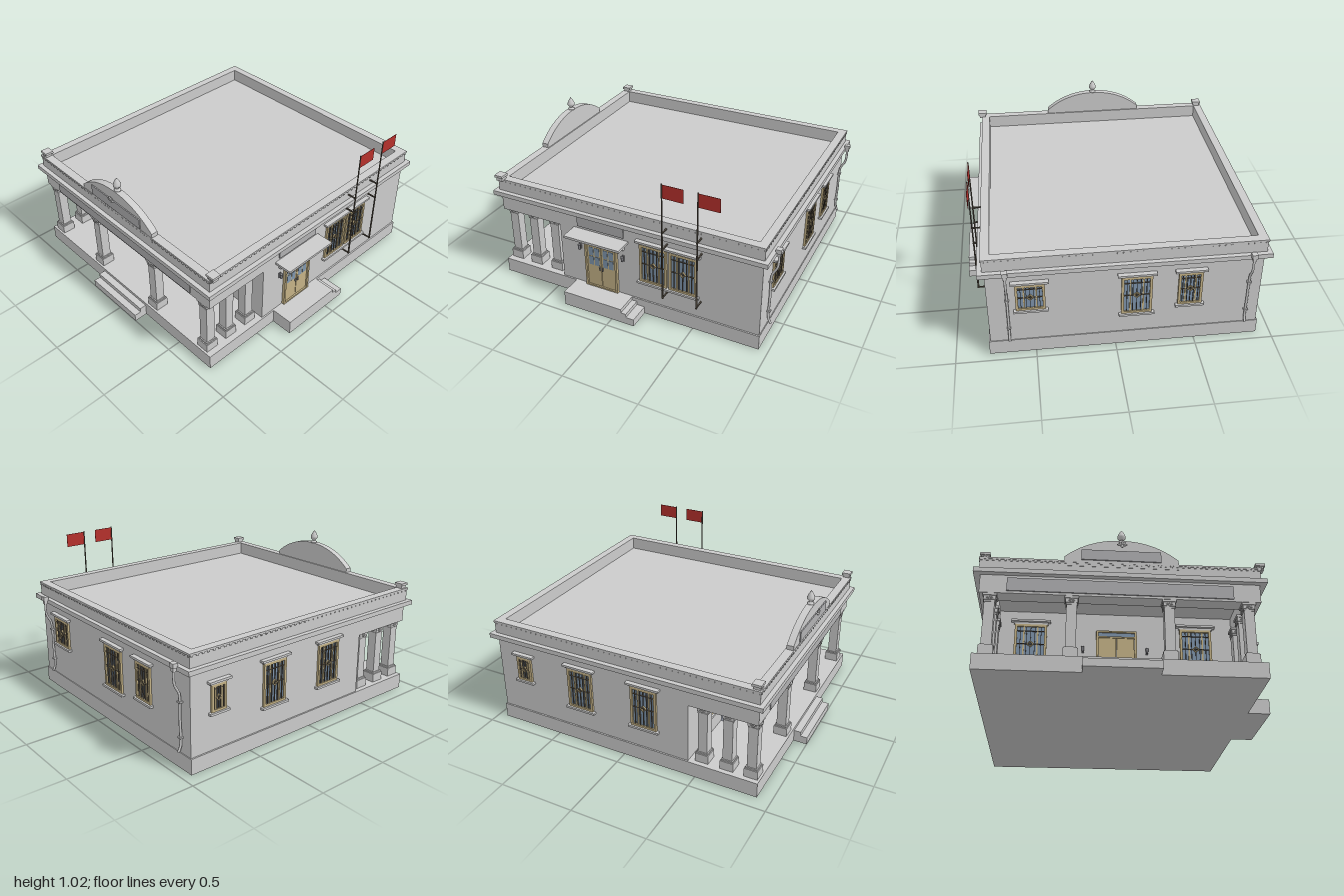
import * as THREE from 'three';
import { mergeGeometries } from 'three/addons/utils/BufferGeometryUtils.js';

const mat = (color) => new THREE.MeshStandardMaterial({ color });
const GREY = mat(0xcccccc), SIGN = mat(0xb0b0b2), TAN = mat(0xc4b286), BLUE = mat(0x7f95ac);
const DARK = mat(0x5b5348), RED = mat(0xb5302c), BENCH = mat(0xb6bed2), METAL = mat(0x85858a);
const CX = -0.06; // centre line of the building

function add(parent, name, geo, m = GREY, x = 0, y = 0, z = 0) {
  const mesh = new THREE.Mesh(geo, m);
  mesh.name = name;
  mesh.position.set(x, y, z);
  parent.add(mesh);
  return mesh;
}

// box given by its limits on each axis
function box(parent, name, x0, x1, y0, y1, z0, z1, m = GREY) {
  return add(parent, name, new THREE.BoxGeometry(x1 - x0, y1 - y0, z1 - z0), m,
    (x0 + x1) / 2, (y0 + y1) / 2, (z0 + z1) / 2);
}

function rectPath(P, x0, x1, y0, y1) {
  const p = new P();
  p.moveTo(x0, y0); p.lineTo(x1, y0); p.lineTo(x1, y1); p.lineTo(x0, y1); p.closePath();
  return p;
}

// rectangular ring in the xy plane, extruded along z
function ring(x0, x1, y0, y1, tx, depth, ty = tx) {
  const s = rectPath(THREE.Shape, x0, x1, y0, y1);
  s.holes.push(rectPath(THREE.Path, x0 + tx, x1 - tx, y0 + ty, y1 - ty));
  return new THREE.ExtrudeGeometry(s, { depth, bevelEnabled: false });
}

function group(parent, name, x, y, z, ry = 0) {
  const g = new THREE.Group();
  g.name = name;
  g.position.set(x, y, z);
  g.rotation.y = ry;
  parent.add(g);
  return g;
}

// window facing +z, origin at the middle of its foot on the wall face
function makeWindow(parent, x, y, z, ry, w, h, trim = true) {
  const g = group(parent, 'window', x, y, z, ry), a = w / 2;
  add(g, 'windowFrame', ring(-a, a, 0, h, 0.016, 0.014), TAN);
  box(g, 'windowPane', -a + 0.01, a - 0.01, 0.01, h - 0.01, 0, 0.004, BLUE);
  for (const s of [-1, 1]) {
    box(g, 'mullion', s * w * 0.21 - 0.005, s * w * 0.21 + 0.005, 0.01, h - 0.01, 0, 0.01, TAN);
    box(g, 'grilleBar', s * w * 0.32 - 0.0015, s * w * 0.32 + 0.0015, 0.01, h - 0.01, 0, 0.012, DARK);
    box(g, 'grilleBar', s * w * 0.13 - 0.0015, s * w * 0.13 + 0.0015, 0.01, h - 0.01, 0, 0.012, DARK);
  }
  box(g, 'grilleBar', -0.0015, 0.0015, 0.01, h - 0.01, 0, 0.012, DARK);
  for (const f of [0.5, 0.83]) box(g, 'grilleRail', -a + 0.01, a - 0.01, h * f - 0.0015, h * f + 0.0015, 0, 0.012, DARK);
  const d = add(g, 'grilleDiamond', ring(-0.016, 0.016, -0.016, 0.016, 0.005, 0.014), TAN, 0, h / 2, 0);
  d.rotation.z = Math.PI / 4;
  box(g, 'sill', -a - 0.015, a + 0.015, -0.012, 0.002, 0, 0.026);
  if (trim) hood(g, -a, a, h);
}

function hood(g, x0, x1, y) {
  box(g, 'hoodMoulding', x0 - 0.008, x1 + 0.008, y, y + 0.014, 0, 0.014);
  box(g, 'hood', x0 - 0.024, x1 + 0.024, y + 0.014, y + 0.028, 0, 0.03);
}

// double door facing +z; glazed puts panes into the upper half
function makeDoor(parent, x, y, z, ry, w, h, glazed) {
  const g = group(parent, 'door', x, y, z, ry), a = w / 2;
  add(g, 'doorFrame', ring(-a, a, 0, h, 0.014, 0.02, 0.01), TAN);
  box(g, 'transom', -a + 0.01, a - 0.01, h - 0.04, h - 0.01, 0, 0.008, BLUE);
  box(g, 'transomRail', -a, a, h - 0.048, h - 0.038, 0, 0.016, TAN);
  for (const s of [-1, 1]) {
    const c = s * (a - 0.014) / 2, b = (a - 0.018) / 2;
    box(g, 'doorLeaf', c - b, c + b, 0, h - 0.045, 0, 0.01, TAN);
    if (glazed) for (const i of [-1, 1]) for (const j of [0, 1])
      box(g, 'doorPane', c + i * b * 0.42 - b * 0.34, c + i * b * 0.42 + b * 0.34,
        h * (0.46 + j * 0.2), h * (0.64 + j * 0.19), 0.005, 0.012, BLUE);
    box(g, 'doorHandle', s * 0.01 - 0.003, s * 0.01 + 0.003, h * 0.38, h * 0.45, 0.01, 0.02, METAL);
  }
}

// fan of petals facing +z
function makeFlower(parent, x, y, z, ry, r) {
  const g = group(parent, 'flowerOrnament', x, y, z, ry);
  for (let i = -2; i <= 2; i++) {
    const p = add(g, 'petal', new THREE.SphereGeometry(r * 0.5, 8, 6), GREY, Math.sin(i * 0.65) * r * 0.55, Math.cos(i * 0.65) * r * 0.55, 0);
    p.scale.set(0.45, 1, 0.4);
    p.rotation.z = -i * 0.65;
  }
  add(g, 'flowerHeart', new THREE.SphereGeometry(r * 0.35, 8, 6), GREY, 0, -r * 0.1, 0).scale.z = 0.6;
}

function makeLamp(parent, x, y, z, ry) {
  const g = group(parent, 'wallLamp', x, y, z, ry);
  box(g, 'lampPlate', -0.008, 0.008, -0.02, 0.02, 0, 0.006, METAL);
  add(g, 'lampShade', new THREE.CylinderGeometry(0.01, 0.007, 0.034, 10), METAL, 0, 0, 0.018);
}

function makeColumn(parent, x, z) {
  const g = group(parent, 'column', x, 0, z);
  const sq = (n, w, y0, y1) => box(g, n, -w, w, y0, y1, -w, w);
  sq('columnBase', 0.044, 0.1, 0.158);
  sq('columnFoot', 0.038, 0.158, 0.168);
  sq('columnShaft', 0.031, 0.16, 0.46);
  sq('columnNeck', 0.034, 0.447, 0.454);
  sq('columnCapital', 0.036, 0.46, 0.49);
  sq('columnAbacus', 0.042, 0.486, 0.502);
  for (let i = 0; i < 4; i++) {
    const t = i * Math.PI / 2;
    makeFlower(g, Math.sin(t) * 0.037, 0.467, Math.cos(t) * 0.037, t, 0.02);
  }
}

export function createModel() {
  const m = new THREE.Group();
  m.name = 'meetingHall';

  // plinth, front steps, side landing with steps
  box(m, 'plinth', -0.91, 0.79, 0, 0.1, -0.94, 0.91);
  box(m, 'frontStep', -0.285, 0.165, 0, 0.08, 0.9, 0.955);
  box(m, 'frontStep', -0.285, 0.165, 0, 0.05, 0.9, 1.0);
  box(m, 'sideLanding', 0.78, 0.935, 0, 0.1, -0.07, 0.35);
  box(m, 'sideStep', 0.78, 0.935, 0, 0.075, -0.105, -0.06);
  box(m, 'sideStep', 0.78, 0.935, 0, 0.05, -0.16, -0.06);

  // hall block and porch beams
  box(m, 'hallWalls', -0.9, 0.78, 0.1, 0.62, -0.935, 0.45);
  box(m, 'frontBeam', -0.9, 0.78, 0.5, 0.62, 0.8, 0.897);
  for (const s of [-1, 1]) box(m, 'sideBeam', CX + s * 0.795 - 0.045, CX + s * 0.795 + 0.045, 0.5, 0.62, 0.44, 0.81);
  for (const x of [-0.835, -0.355, 0.225, 0.705]) makeColumn(m, x, 0.852);
  for (const x of [-0.835, 0.705]) for (const z of [0.695, 0.53]) makeColumn(m, x, z);

  // roof slab, parapet, coping and dentils
  box(m, 'roofSlab', -0.94, 0.82, 0.62, 0.65, -0.972, 0.932);
  const parapet = add(m, 'parapet', ring(-0.91, 0.79, -0.903, 0.943, 0.05, 0.085), GREY, 0, 0.65, 0);
  parapet.rotation.x = -Math.PI / 2;
  const coping = add(m, 'coping', ring(-0.915, 0.795, -0.907, 0.947, 0.055, 0.012), GREY, 0, 0.725, 0);
  coping.rotation.x = -Math.PI / 2;
  const teeth = [];
  const tooth = (x, z) => teeth.push(new THREE.BoxGeometry(0.014, 0.01, 0.014).translate(x, 0.72, z));
  for (let i = 0; i < 48; i++) {
    for (const z of [-0.941, 0.901]) tooth(-0.9 + i * 1.68 / 47, z);
    for (const x of [-0.908, 0.788]) tooth(x, -0.93 + i * 1.82 / 47);
  }
  add(m, 'dentils', mergeGeometries(teeth));

  // curved pediment with panel, flower and finial
  const ped = new THREE.Shape();
  ped.moveTo(-0.347, 0.7); ped.lineTo(0.347, 0.7); ped.lineTo(0.347, 0.765);
  ped.quadraticCurveTo(0.2, 0.893, 0, 0.893);
  ped.quadraticCurveTo(-0.2, 0.893, -0.347, 0.765);
  add(m, 'pediment', new THREE.ExtrudeGeometry(ped, { depth: 0.045, bevelEnabled: false, curveSegments: 16 }), GREY, CX, 0, 0.86);
  box(m, 'pedimentPanel', -0.305, 0.18, 0.745, 0.815, 0.9, 0.912, SIGN);
  makeFlower(m, CX, 0.838, 0.935, 0, 0.032);
  const profile = [[0, 0], [0.022, 0], [0.022, 0.01], [0.01, 0.016], [0.012, 0.022], [0.025, 0.036], [0.025, 0.05], [0.014, 0.075], [0, 0.096]];
  add(m, 'finial', new THREE.LatheGeometry(profile.map(([r, y]) => new THREE.Vector2(r, y)), 20), GREY, CX, 0.89, 0.88);

  // corner ornaments on the front of the parapet
  for (const x of [-0.88, 0.792]) {
    box(m, 'cornerBlock', x - 0.022, x + 0.022, 0.73, 0.76, 0.853, 0.897);
    box(m, 'cornerCap', x - 0.03, x + 0.03, 0.756, 0.772, 0.846, 0.904);
    makeFlower(m, x, 0.738, 0.898, 0, 0.018);
  }

  // plain name boards
  box(m, 'frontBoard', -0.74, 0.615, 0.515, 0.602, 0.89, 0.904, SIGN);
  box(m, 'sideBoard', 0.775, 0.788, 0.53, 0.605, -0.02, 0.315, SIGN);

  // porch wall: door, windows, lamps and benches
  makeDoor(m, CX, 0.1, 0.45, 0, 0.26, 0.395, false);
  for (const x of [-0.608, 0.452]) makeWindow(m, x, 0.25, 0.45, 0, 0.205, 0.275);
  for (const x of [-0.275, 0.135]) makeLamp(m, x, 0.36, 0.45, 0);
  box(m, 'tallBox', -0.425, -0.275, 0.1, 0.235, 0.452, 0.52, BENCH);
  box(m, 'lowBench', 0.14, 0.36, 0.1, 0.165, 0.452, 0.52, BENCH);

  // +x side: door under a canopy, lamps, paired windows
  const E = Math.PI / 2;
  makeDoor(m, 0.78, 0.1, 0.147, E, 0.235, 0.36, true);
  box(m, 'canopy', 0.775, 0.9, 0.497, 0.513, -0.05, 0.345);
  box(m, 'canopyMoulding', 0.775, 0.88, 0.487, 0.498, -0.035, 0.33);
  const br = new THREE.Shape();
  br.moveTo(0, 0.445); br.lineTo(0.02, 0.445); br.quadraticCurveTo(0.03, 0.475, 0.085, 0.48); br.lineTo(0.085, 0.49); br.lineTo(0, 0.49);
  for (const z of [0.303, -0.013]) {
    add(m, 'canopyBracket', new THREE.ExtrudeGeometry(br, { depth: 0.02, bevelEnabled: false }), GREY, 0.78, 0, z - 0.01);
    makeLamp(m, 0.78, 0.38, z, E);
  }
  for (const z of [-0.227, -0.43]) makeWindow(m, 0.78, 0.25, z, E, 0.188, 0.275, false);
  hood(group(m, 'pairHood', 0.78, 0, -0.328, E), -0.195, 0.195, 0.526);

  // flagpoles with wall brackets
  for (const z of [-0.322, -0.55]) {
    const g = group(m, 'flagpole', 0.848, 0, z);
    add(g, 'pole', new THREE.CylinderGeometry(0.004, 0.006, 0.81, 10), DARK, 0, 0.62, 0);
    box(g, 'flag', -0.001, 0.001, 0.93, 1.02, -0.138, 0, RED);
    for (const y of [0.22, 0.575, 0.69]) box(g, 'poleBracket', -0.072, 0.006, y - 0.004, y + 0.004, -0.004, 0.004, DARK);
  }

  // -x side and back windows
  makeWindow(m, -0.9, 0.34, -0.74, -E, 0.11, 0.17);
  for (const z of [-0.31, 0.15]) makeWindow(m, -0.9, 0.25, z, -E, 0.18, 0.28);
  for (const [x, y, w] of [[0.52, 0.34, 0.18], [-0.125, 0.25, 0.19], [-0.455, 0.29, 0.15]])
    makeWindow(m, x, y, -0.935, Math.PI, w, 0.53 - y);

  // rainwater pipes on the back
  for (const x of [-0.82, 0.66]) {
    box(m, 'rainHead', x - 0.018, x + 0.018, 0.64, 0.668, -1.0, -0.965);
    box(m, 'rainHeadFoot', x - 0.011, x + 0.011, 0.618, 0.642, -0.995, -0.97);
    const pts = [[0.63, -0.984], [0.56, -0.984], [0.53, -0.978], [0.48, -0.952], [0.45, -0.947], [0.3, -0.947], [0.15, -0.947], [0.115, -0.962]];
    const path = new THREE.CatmullRomCurve3(pts.map(([y, z]) => new THREE.Vector3(x, y, z)));
    add(m, 'rainPipe', new THREE.TubeGeometry(path, 32, 0.008, 8), GREY);
    for (const y of [0.2, 0.42]) box(m, 'pipeClip', x - 0.013, x + 0.013, y, y + 0.01, -0.958, -0.93);
  }
  return m;
}
